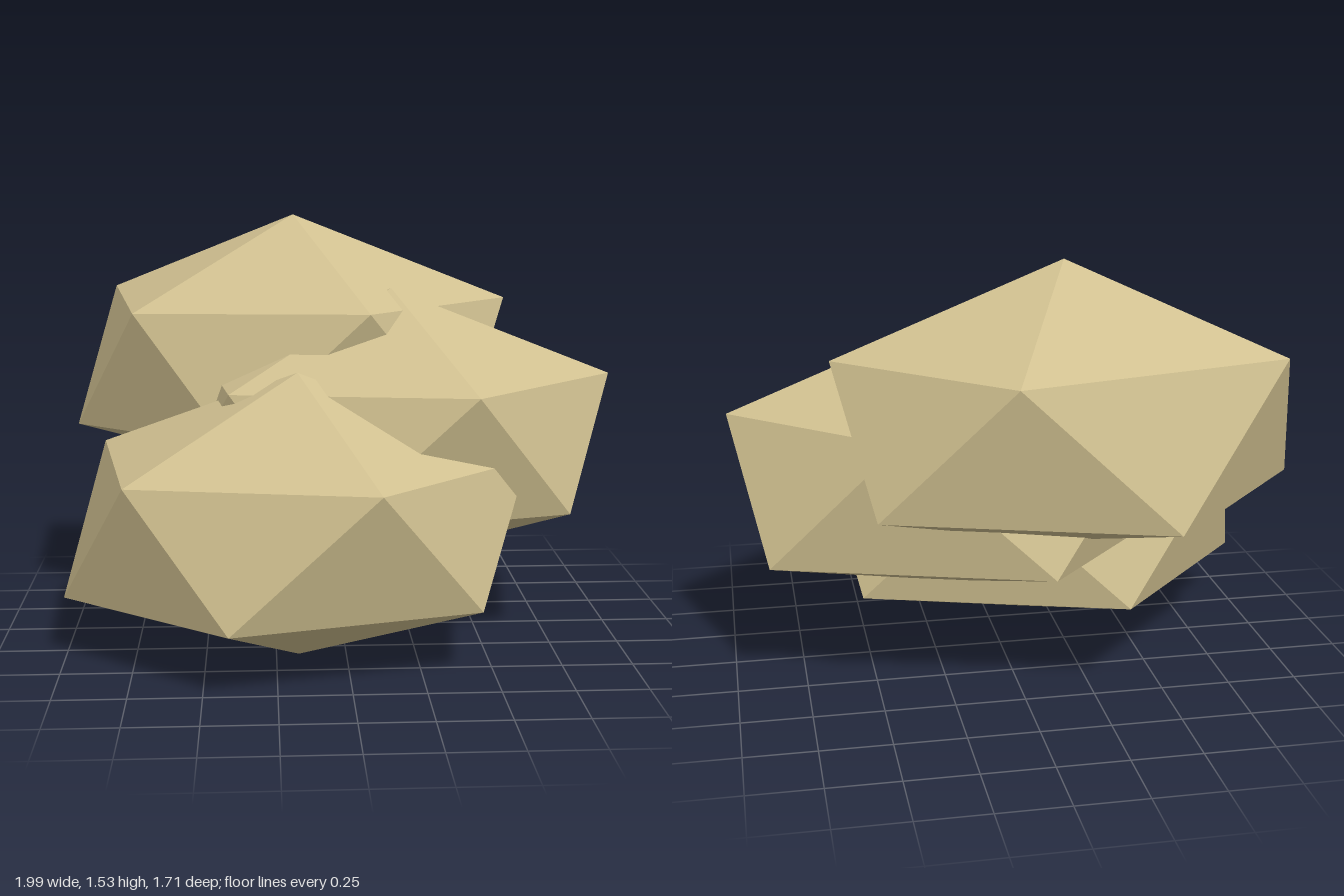
import * as THREE from 'three';

// One irregular twenty-sided stone: top, upper ring, lower ring, bottom
const TOP = [0, 0.51, 0.02];
const UPPER = [[-0.70, 0.21, -0.32], [-0.59, 0.17, 0.31], [0.26, 0.19, 0.55], [0.81, 0.19, 0.01], [0.25, 0.19, -0.49]];
const LOWER = [[-0.83, -0.29, 0.01], [-0.24, -0.28, 0.52], [0.62, -0.27, 0.32], [0.69, -0.29, -0.31], [-0.28, -0.31, -0.55]];
const BOTTOM = [0, -0.51, 0.02];

function stoneGeometry() {
  const corners = [];
  for (let i = 0; i < 5; i++) {
    const j = (i + 1) % 5;
    corners.push(TOP, UPPER[i], UPPER[j]);        // cap
    corners.push(UPPER[i], LOWER[i], UPPER[j]);   // belt, pointing down
    corners.push(LOWER[i], LOWER[j], UPPER[j]);   // belt, pointing up
    corners.push(BOTTOM, LOWER[j], LOWER[i]);     // base
  }
  const geometry = new THREE.BufferGeometry();
  geometry.setAttribute('position', new THREE.Float32BufferAttribute(corners.flat(), 3));
  geometry.computeVertexNormals();
  return geometry;
}

export function createModel() {
  const group = new THREE.Group();
  group.name = 'stoneCluster';
  const sandstone = new THREE.MeshStandardMaterial({ color: 0xd0c090, flatShading: true });
  sandstone.name = 'sandstone';
  const geometry = stoneGeometry();

  // Three copies of the stone, overlapping
  const stones = {
    frontStone: [-0.17, 0.51, 0.31],
    sideStone: [0.18, 0.77, 0.0],
    backStone: [-0.17, 1.02, -0.30],
  };
  for (const [name, position] of Object.entries(stones)) {
    const stone = new THREE.Mesh(geometry, sandstone);
    stone.name = name;
    stone.position.set(...position);
    group.add(stone);
  }
  return group;
}
